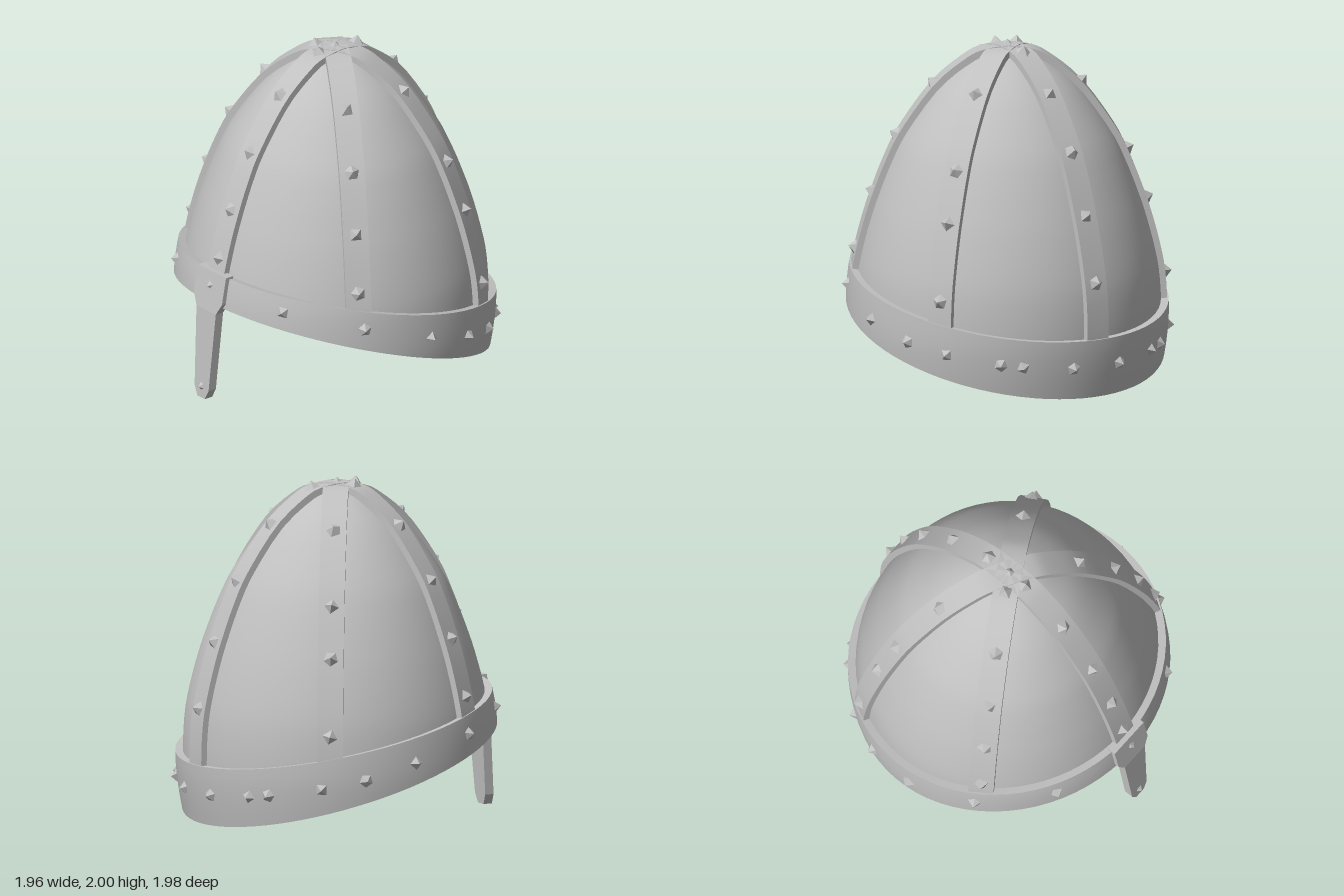
import * as THREE from 'three';
import { mergeGeometries, mergeVertices } from 'three/addons/utils/BufferGeometryUtils.js';

const CENTRE_Z = -0.02;
const WALL = 0.045, STRAP = 0.033, BAND = 0.045;

// Dome profile from crown to rim, as radius and height
const profile = new THREE.SplineCurve([
  [0, 1.945], [0.12, 1.928], [0.22, 1.885], [0.41, 1.73], [0.6, 1.47], [0.69, 1.29], [0.76, 1.11],
  [0.81, 0.96], [0.86, 0.77], [0.89, 0.6], [0.9, 0.38], [0.885, 0.2], [0.85, 0], [0.83, -0.1],
].map(([r, y]) => new THREE.Vector2(r, y)));

// Point on the dome: azimuth a from the front, profile position t, raised by offset, shifted sideways
function domePoint(a, t, offset = 0, side = 0) {
  const p = profile.getPoint(t), d = profile.getTangent(t);
  const r = p.x - d.y * offset, y = p.y + d.x * offset;
  return new THREE.Vector3(
    Math.sin(a) * r + Math.cos(a) * side, y,
    CENTRE_Z + Math.cos(a) * r - Math.sin(a) * side);
}

// Profile position where the dome meets the plane y = base + slope * z
function meet(a, base, slope = 0) {
  let lo = 0, hi = 1;
  for (let i = 0; i < 24; i++) {
    const t = (lo + hi) / 2, p = domePoint(a, t);
    if (p.y > base + slope * p.z) lo = t; else hi = t;
  }
  return lo;
}
const rimAt = (a) => meet(a, 0.305, 0.32);
const bandTopAt = (a) => meet(a, 0.575, 0.226);

// Smooth surface patch from a function of u and v
function patch(fn, nu, nv) {
  const pos = [], idx = [];
  for (let j = 0; j <= nv; j++)
    for (let i = 0; i <= nu; i++) pos.push(...fn(i / nu, j / nv).toArray());
  for (let j = 0; j < nv; j++)
    for (let i = 0; i < nu; i++) {
      const a = j * (nu + 1) + i, b = a + 1, c = a + nu + 1, d = c + 1;
      idx.push(a, c, b, b, c, d);
    }
  let g = new THREE.BufferGeometry();
  g.setAttribute('position', new THREE.Float32BufferAttribute(pos, 3));
  g.setIndex(idx);
  g = mergeVertices(g, 1e-5);
  g.computeVertexNormals();
  return g;
}

const ring = (fn, nv) => patch((u, v) => fn(u * Math.PI * 2, v), 72, nv);
const mix = THREE.MathUtils.lerp;

export function createModel() {
  const steel = new THREE.MeshStandardMaterial({ color: 0xc0c0c0, side: THREE.DoubleSide });
  steel.name = 'steel';
  const model = new THREE.Group();
  model.name = 'helmet';
  const add = (name, geometry, parent = model) => {
    const m = new THREE.Mesh(geometry, steel);
    m.name = name;
    parent.add(m);
    return m;
  };

  // Dome with an inner wall
  add('domeOuter', ring((a, v) => domePoint(a, rimAt(a) * v), 32));
  add('domeInner', ring((a, v) => domePoint(a, rimAt(a) * (1 - v), -WALL), 32));

  // Brow band: upper ledge, outer face and the rim underneath
  add('browBand', mergeGeometries([
    ring((a, v) => domePoint(a, bandTopAt(a), mix(-0.01, BAND, v)), 1),
    ring((a, v) => domePoint(a, mix(bandTopAt(a), rimAt(a), v), BAND), 8),
    ring((a, v) => domePoint(a, rimAt(a), mix(BAND, -WALL, v)), 1),
  ]));

  // Six raised straps from crown to brow band
  const straps = new THREE.Group();
  straps.name = 'straps';
  model.add(straps);
  const W = 0.075;
  const section = [[-W, -0.01], [-W, STRAP], [W, STRAP], [W, -0.01]];
  for (let k = 0; k < 6; k++) {
    const a = k * Math.PI / 3, end = meet(a, 0.53, 0.226);
    const faces = [0, 1, 2].map((s) => patch((u, v) => domePoint(a, end * v,
      mix(section[s][1], section[s + 1][1], u), mix(section[s][0], section[s + 1][0], u)), 1, 32));
    add('strap', mergeGeometries(faces), straps);
  }

  // Nose guard: flat outline bent to lean away from the face
  const half = [[0.035, 0], [0.065, 0.06], [0.09, 0.55], [0.13, 0.62], [0.13, 0.785]];
  const outline = [...half, ...half.map(([x, y]) => [-x, y]).reverse()];
  const guard = new THREE.ExtrudeGeometry(
    new THREE.Shape(outline.map(([x, y]) => new THREE.Vector2(x, y))), { depth: 0.055, bevelEnabled: false });
  const gp = guard.attributes.position;
  const guardFront = (y) => 0.985 - 0.07 * y - Math.max(0, y - 0.55) * 0.12;
  for (let i = 0; i < gp.count; i++) gp.setZ(i, gp.getZ(i) - 0.055 + guardFront(gp.getY(i)));
  guard.computeVertexNormals();
  add('noseGuard', guard);

  // Faceted pyramid studs
  const studs = new THREE.Group();
  studs.name = 'studs';
  model.add(studs);
  const studShapes = [4, 5].map((n) => {
    const g = new THREE.ConeGeometry(0.053, 0.05, n).toNonIndexed();
    g.translate(0, 0.017, 0);
    g.computeVertexNormals();
    return g;
  });
  const up = new THREE.Vector3(0, 1, 0);
  let count = 0;
  const placeStud = (point, normal) => {
    const m = add('stud', studShapes[count % 2], studs);
    m.position.copy(point);
    m.quaternion.setFromUnitVectors(up, normal);
    m.rotateY(count++ * 2.4);
  };
  const domeStud = (a, t, offset) => {
    const p = domePoint(a, t, offset);
    placeStud(p, domePoint(a, t, offset + 1).sub(p).normalize());
  };

  // Studs down each strap
  const strapHeights = [
    [0.85, 1.13, 1.45, 1.75, 1.93], [0.77, 1.1, 1.43, 1.73], [0.6, 1.04, 1.33, 1.73],
    [0.69, 1.07, 1.42, 1.73, 1.92], [0.6, 1.04, 1.33, 1.73], [0.77, 1.1, 1.43, 1.73, 1.93],
  ];
  strapHeights.forEach((heights, k) => heights.forEach((y) => {
    const a = k * Math.PI / 3;
    domeStud(a, meet(a, y), STRAP);
  }));
  placeStud(new THREE.Vector3(0, 1.962, CENTRE_Z), up);

  // Studs around the brow band, mirrored left and right
  for (const side of [1, -1])
    for (const deg of [32, 62, 88, 107, 123, 143, 151, 170]) {
      const a = side * THREE.MathUtils.degToRad(deg);
      domeStud(a, (bandTopAt(a) + rimAt(a)) / 2, BAND - 0.005);
    }

  // Studs at the top and tip of the nose guard
  const forward = new THREE.Vector3(0, 0, 1);
  for (const y of [0.7, 0.07]) placeStud(new THREE.Vector3(0, y, guardFront(y) - 0.02), forward);

  return model;
}
